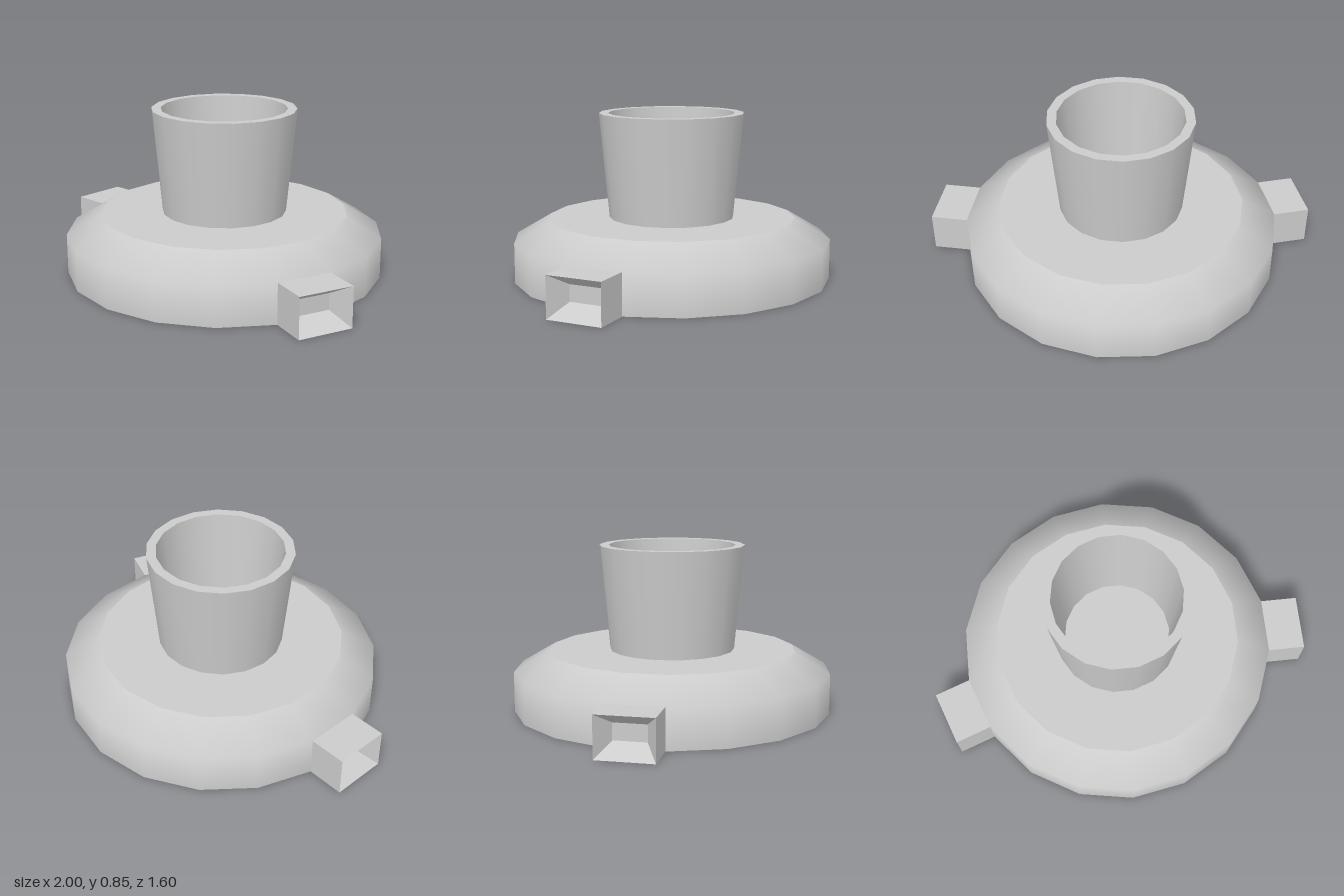
import * as THREE from 'three';

const SIDES = 18;
const DEG = Math.PI / 180;
const material = new THREE.MeshStandardMaterial({ color: 0xcccccc });

// Revolved band; separate bands meet in a sharp edge
function band(name, points, startAngle) {
  const profile = points.map(([r, y]) => new THREE.Vector2(r, y));
  const mesh = new THREE.Mesh(new THREE.LatheGeometry(profile, SIDES, startAngle), material);
  mesh.name = name;
  return mesh;
}

// Square arm along +x with a funnel-shaped socket in its end
function armGeometry() {
  // Rectangular rings: x, half width, bottom, top
  const rings = [
    [0.80, 0.141, 0, 0.205],
    [0.99, 0.141, 0, 0.205],
    [0.885, 0.081, 0.063, 0.145],
  ].map(([x, w, y0, y1]) => [[x, y0, -w], [x, y1, -w], [x, y1, w], [x, y0, w]]);
  const positions = [];
  const quad = (a, b, c, d) => positions.push(...a, ...b, ...c, ...a, ...c, ...d);
  for (let r = 0; r < rings.length - 1; r++) {
    for (let i = 0; i < 4; i++) {
      const j = (i + 1) % 4;
      quad(rings[r][i], rings[r][j], rings[r + 1][j], rings[r + 1][i]);
    }
  }
  quad(...rings[2]); // socket floor
  const geometry = new THREE.BufferGeometry();
  geometry.setAttribute('position', new THREE.Float32BufferAttribute(positions, 3));
  geometry.computeVertexNormals();
  return geometry;
}

export function createModel() {
  const model = new THREE.Group();
  model.name = 'socketedBase';

  // Round base with a softened shoulder
  const base = new THREE.Group();
  base.name = 'base';
  const turn = 10 * DEG;
  base.add(
    band('baseUnderside', [[0, 0], [0.813, 0]], turn),
    band('baseSide', [[0.813, 0], [0.813, 0.205], [0.635, 0.31]], turn),
    band('baseTop', [[0.635, 0.31], [0, 0.31]], turn),
  );

  // Flared open collar
  const collar = new THREE.Group();
  collar.name = 'collar';
  collar.add(
    band('collarOuterWall', [[0.32, 0.31], [0.37, 0.845]], 0),
    band('collarRim', [[0.37, 0.845], [0.322, 0.845]], 0),
    band('collarInnerWall', [[0.322, 0.845], [0.275, 0.31]], 0),
  );

  // Side arms, set on the base facets just forward of centre
  const arm = armGeometry();
  for (const [name, angle] of [['leftArm', -10], ['rightArm', -170]]) {
    const mesh = new THREE.Mesh(arm, material);
    mesh.name = name;
    mesh.rotation.y = angle * DEG;
    model.add(mesh);
  }

  model.add(base, collar);
  return model;
}
